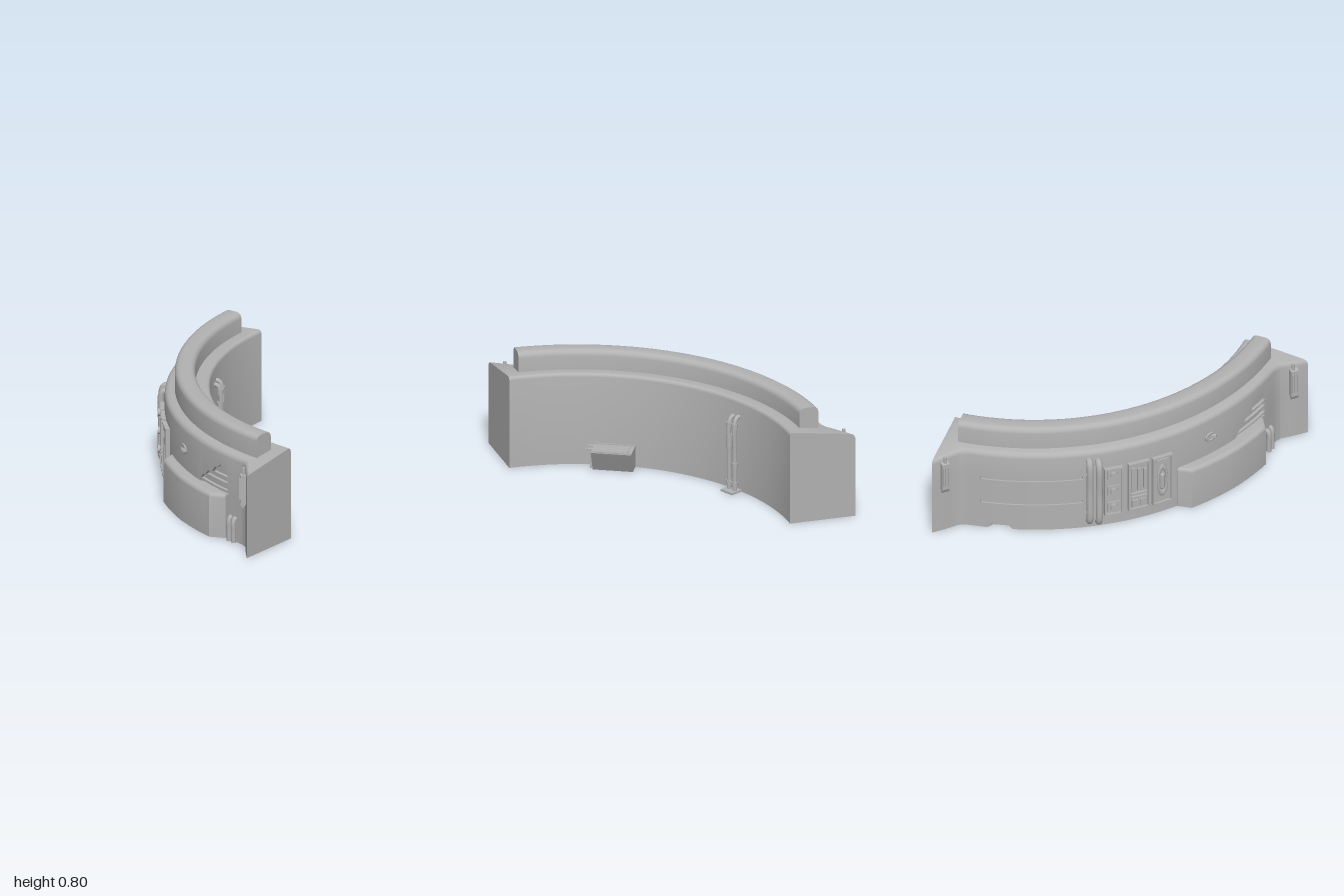
import * as THREE from 'three';
import { toCreasedNormals } from 'three/addons/utils/BufferGeometryUtils.js';

const RAD = Math.PI / 180;
const grey = new THREE.MeshStandardMaterial({ color: 0xb2b2b2, side: THREE.DoubleSide });
grey.name = 'plain grey';

// Point on the quarter ring: angle in degrees, radius from the ring centre, height
const ringPoint = (a, r, y) => [1 - r * Math.cos(a * RAD), y, -1 + r * Math.sin(a * RAD)];

// Piecewise linear lookup through [key, value] points
function lerpTable(points, k) {
  for (let i = 1; i < points.length; i++) {
    const [k0, v0] = points[i - 1], [k1, v1] = points[i];
    if (k <= k1) return v0 + (v1 - v0) * Math.max(0, (k - k0) / (k1 - k0));
  }
  return points[points.length - 1][1];
}

function makeMesh(name, geometry, parent) {
  const m = new THREE.Mesh(geometry, grey);
  m.name = name;
  parent.add(m);
  return m;
}

// Sweep a [radius, height] section round the ring, closing both ends
function sweep(angles, section) {
  const pos = [], idx = [], n = section(angles[0]).length, last = angles.length - 1;
  angles.forEach((a, i) => {
    section(a).forEach(([r, y], j) => {
      pos.push(...ringPoint(a, r, y));
      const v = i * n + j;
      if (i < last && j < n - 1) idx.push(v, v + 1, v + n, v + 1, v + n + 1, v + n);
    });
  });
  for (let j = 1; j < n - 1; j++) {
    idx.push(0, j + 1, j);
    idx.push(last * n, last * n + j, last * n + j + 1);
  }
  const g = new THREE.BufferGeometry();
  g.setAttribute('position', new THREE.Float32BufferAttribute(pos, 3));
  g.setIndex(idx);
  return toCreasedNormals(g, 0.6);
}

function range(from, to, steps) {
  return Array.from({ length: steps + 1 }, (_, i) => from + (to - from) * i / steps);
}

// Quarter-round corner points, from pointing at angle t0 to t1
const corner = (r, y, rad, t0, t1) =>
  range(t0, t1, 4).map(t => [r + rad * Math.cos(t * RAD), y + rad * Math.sin(t * RAD)]);

// Group whose local z points out of the wall (or into the yard) at a given angle
function mount(name, parent, a, r, inward = false) {
  const g = new THREE.Group();
  g.name = name;
  g.position.set(...ringPoint(a, r, 0));
  g.rotation.y = (a - 90) * RAD + (inward ? Math.PI : 0);
  parent.add(g);
  return g;
}

function box(name, parent, w, h, d, x, y, z) {
  const m = makeMesh(name, new THREE.BoxGeometry(w, h, d), parent);
  m.position.set(x, y, z);
  return m;
}

function cylinder(name, parent, r, h, x, y, z, facing = false) {
  const m = makeMesh(name, new THREE.CylinderGeometry(r, r, h, 16), parent);
  m.position.set(x, y, z);
  if (facing) m.rotation.x = Math.PI / 2;
  return m;
}

function pipe(name, parent, radius, points) {
  const curve = new THREE.CatmullRomCurve3(points.map(p => new THREE.Vector3(...p)));
  return makeMesh(name, new THREE.TubeGeometry(curve, 40, radius, 12), parent);
}

export function createModel() {
  const model = new THREE.Group();
  model.name = 'curvedBarrier';

  // Main wall: flared ends, scored grooves, a base notch and a broken patch
  const flare = [[0, 2], [4.3, 1.855], [5.5, 1.84], [7, 1.835], [45, 1.84]];
  const outer = a => lerpTable(flare, Math.min(a, 90 - a));
  const broken = [[69, 0.32], [70.5, 0.38], [71.5, 0.39], [72.5, 0.43], [74, 0.44], [75, 0.48],
    [76, 0.49], [77, 0.52], [78, 0.5], [79.5, 0.47], [79.6, 0.32]];
  const notch = [[10.5, 0], [11.5, 0.05], [13, 0.08], [14.5, 0.06], [16, 0]];
  const topY = r => 0.675 - 0.15 * (r - 1.53);
  const wallSection = a => {
    const R = outer(a), f = 0.04, t = topY(R - f);
    const groove = a > 9 && a < 31 ? 0.012 : 0;
    const bands = a < 50
      ? [[0.428, 0.402, groove], [0.232, 0.205, groove]]
      : [[lerpTable(broken, a), 0.32, a > 69 && a < 79.6 ? 0.02 : 0], [0.2, 0.2, 0]];
    const n = a < 16 ? lerpTable(notch, a) : 0, cut = n > 0 ? 0.04 : 0;
    return [[1.53, 0], ...corner(1.555, 0.645, 0.025, 180, 90), ...corner(R - f, t - f, f, 82, 0),
      ...bands.flatMap(([hi, lo, d]) => [[R, hi], [R - d, hi], [R - d, lo], [R, lo]]),
      [R, n], [R - cut, n], [R - cut, 0]];
  };
  const wallAngles = [...range(0, 90, 60), 4.3, 5.5, 84.5, 85.7, 8.98, 9.02, 30.98, 31.02,
    ...notch.map(p => p[0]), ...broken.map(p => p[0])].sort((p, q) => p - q);
  makeMesh('wall', sweep([...new Set(wallAngles)], wallSection), model);

  // Raised rounded rim along the top
  makeMesh('topRim', sweep(range(3.4, 86.6, 56), () => [[1.63, 0.62],
    ...corner(1.67, 0.76, 0.04, 180, 90), ...corner(1.73, 0.76, 0.04, 90, 0), [1.77, 0.62]]), model);

  // Low bulge on the outer face
  const bulge = [[52.7, 1.845], [54.8, 1.915], [65.5, 1.922], [76.4, 1.915], [79, 1.845]];
  makeMesh('outerBulge', sweep([52.7, ...range(54.8, 76.4, 14), 79], a => {
    const R = lerpTable(bulge, a);
    return [[1.8, 0], [1.8, 0.32], ...corner(R - 0.03, 0.29, 0.03, 90, 0), [R, 0]];
  }), model);

  // Bars exposed in the broken patch
  [[0.345, 70, 80], [0.4, 72.2, 80], [0.445, 75, 79.8]].forEach(([y, from, to]) =>
    makeMesh('exposedBar', sweep(range(from, to, 6), () =>
      [[1.815, y - 0.006], [1.815, y + 0.006], [1.838, y + 0.006], [1.838, y - 0.006]]), model));

  // Impact dent with a lump of debris
  const dent = mount('impactDent', model, 61.8, 1.84);
  const dentRim = makeMesh('dentRim', new THREE.TorusGeometry(0.034, 0.009, 6, 9), dent);
  dentRim.position.set(-0.01, 0.465, 0);
  dentRim.scale.set(1.2, 0.85, 1);
  const lump = makeMesh('dentLump', new THREE.DodecahedronGeometry(0.022), dent);
  lump.position.set(0.02, 0.46, 0);

  // Pipe pairs on the outer face
  const loopPipe = (a, y0, y1, rad) => pipe('wallPipe', mount('wallPipeMount', model, a, 1.84), rad,
    [[0, y0, -0.03], [0, y0, 0.012], [0, y0 + 0.03, 0.03], [0, (y0 + y1) / 2, 0.03],
      [0, y1 - 0.03, 0.03], [0, y1, 0.012], [0, y1, -0.03]]);
  [32.3, 34.3].forEach((a, i) => loopPipe(a, 0.06 - i * 0.015, 0.56 - i * 0.015, 0.024));
  [80.6, 82].forEach(a => pipe('shortPipe', mount('shortPipeMount', model, a, 1.84), 0.017,
    [[0, 0, 0.012], [0, 0.08, 0.012], [0, 0.145, 0.012], [0, 0.168, 0], [0, 0.168, -0.03]]));

  // Three control panels
  const frame = (g, w, h, y) => {
    box('panelBack', g, w, h, 0.03, 0, y, 0);
    [-1, 1].forEach(s => {
      box('panelSide', g, 0.012, h, 0.02, s * (w / 2 - 0.006), y, 0.02);
      box('panelEdge', g, w, 0.012, 0.02, 0, y + s * (h / 2 - 0.006), 0.02);
    });
  };
  const knobs = mount('knobPanel', model, 37.5, 1.84);
  frame(knobs, 0.13, 0.39, 0.285);
  [0.43, 0.295, 0.16].forEach(y => {
    box('knobPlate', knobs, 0.085, 0.075, 0.02, 0, y, 0.015);
    cylinder('knob', knobs, 0.026, 0.045, 0, y, 0.025, true);
  });
  const slots = mount('slotPanel', model, 43.2, 1.84);
  frame(slots, 0.155, 0.39, 0.29);
  [-0.045, 0, 0.045].forEach((x, i) => box('slotBar', slots, 0.025, 0.2 - i * 0.02, 0.025, x, 0.345, 0.015));
  [0.2, 0.23].forEach(y => box('slotRail', slots, 0.12, 0.012, 0.03, 0, y, 0.015));
  [-0.03, 0.03].forEach(x => box('slotKey', slots, 0.045, 0.055, 0.02, x, 0.145, 0.015));
  const handle = mount('handlePanel', model, 48.7, 1.84);
  frame(handle, 0.15, 0.39, 0.285);
  box('handleLabel', handle, 0.09, 0.02, 0.02, 0, 0.445, 0.015);
  const ring = makeMesh('handleRing', new THREE.TorusGeometry(0.035, 0.009, 8, 24), handle);
  ring.position.set(0, 0.28, 0.018);
  ring.scale.y = 3.1;
  const grip = makeMesh('handleGrip', new THREE.CapsuleGeometry(0.016, 0.1, 6, 12), handle);
  grip.position.set(0, 0.27, 0.018);

  // Lamps on both end flares, mirrored about the diagonal
  [[-0.935, -0.935, 1], [0.92, 0.92, -1]].forEach(([x, z, s]) => {
    const lamp = new THREE.Group();
    lamp.name = 'endLamp';
    lamp.position.set(x, 0, z);
    lamp.rotation.y = -Math.PI / 4;
    model.add(lamp);
    const side = new THREE.Shape([[-0.02, 0.39], [0.02, 0.33], [0.035, 0.36], [0.035, 0.57], [-0.02, 0.58]]
      .map(p => new THREE.Vector2(...p)));
    const body = makeMesh('lampBody', new THREE.ExtrudeGeometry(side, { depth: 0.056, bevelEnabled: false })
      .rotateY(-Math.PI / 2), lamp);
    body.position.x = 0.028;
    [-0.016, 0, 0.016].forEach(u => box('lampBar', lamp, 0.008, 0.15, 0.012, u, 0.47, 0.037));
    cylinder('lampPost', lamp, 0.012, 0.06, s * 0.004, 0.59, 0.012);
  });

  // Sloped console against the inner face
  const desk = mount('console', model, 62.5, 1.53, true);
  const deskSide = new THREE.Shape([[-0.02, 0], [0.1, 0], [0.17, 0.135], [0.18, 0.155], [-0.02, 0.155]]
    .map(p => new THREE.Vector2(...p)));
  const deskBody = makeMesh('consoleBody', new THREE.ExtrudeGeometry(deskSide, { depth: 0.28, bevelEnabled: false })
    .rotateY(-Math.PI / 2), desk);
  deskBody.position.x = 0.14;
  box('consoleScreen', desk, 0.22, 0.006, 0.12, 0, 0.157, 0.09);
  [-1, 1].forEach(s => box('consoleLip', desk, 0.27, 0.008, 0.01, 0, 0.159, 0.09 + s * 0.075));
  [0.035, 0.09].forEach(z => {
    box('consoleProng', desk, 0.06, 0.022, 0.022, -0.16, 0.14, z);
    box('consoleProngLeg', desk, 0.02, 0.13, 0.022, -0.148, 0.075, z);
  });

  // Jointed pipe pair on the inner face
  const riser = mount('innerPipes', model, 27, 1.53, true);
  box('pipeBase', riser, 0.11, 0.014, 0.1, 0, 0.007, 0.045);
  [-1, 1].forEach(s => {
    const x = s * 0.027, top = 0.545 - (s > 0 ? 0 : 0.01);
    pipe('innerPipe', riser, 0.016, [[x, 0, 0.04], [x, 0.25, 0.04], [x, top - 0.04, 0.04],
      [x, top, 0.018], [x, top, -0.03]]);
    [0.06, s > 0 ? 0.2 : 0.35, 0.49].forEach(y => cylinder('pipeJoint', riser, 0.022, 0.035, x, y, 0.04));
  });
  cylinder('pipeSleeve', riser, 0.022, 0.09, -0.027, 0.37, 0.04);

  return model;
}
